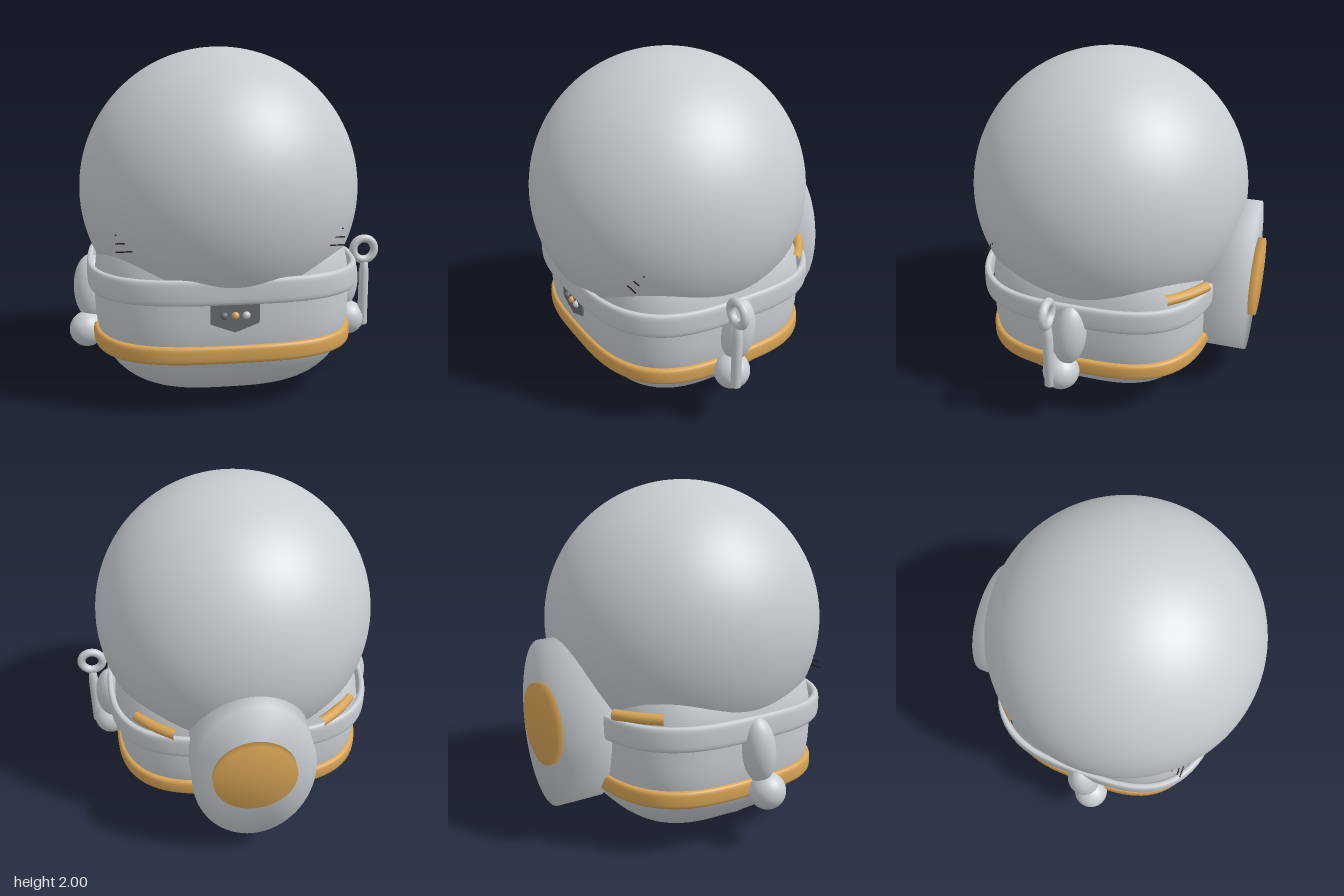
import * as THREE from 'three';
import { mergeVertices } from 'three/addons/utils/BufferGeometryUtils.js';

const CX = -0.04, CZ = 0.045; // body axis

const material = (name, color) => {
  const m = new THREE.MeshStandardMaterial({ color });
  m.name = name;
  return m;
};

// Lofts rounded-square loops; each row is [half width, half depth, height]
function loft(rows, closed, n = 3.1, segments = 112) {
  const pos = [], index = [];
  for (const [a, b, y] of rows) {
    for (let j = 0; j < segments; j++) {
      const t = (j / segments) * Math.PI * 2, c = Math.cos(t), s = Math.sin(t);
      const r = Math.pow(Math.abs(c) ** n + Math.abs(s) ** n, -1 / n);
      pos.push(a * r * c, y, b * r * s);
    }
  }
  const count = closed ? rows.length : rows.length - 1;
  for (let i = 0; i < count; i++) {
    const k = (i + 1) % rows.length;
    for (let j = 0; j < segments; j++) {
      const l = (j + 1) % segments;
      const p = i * segments + j, q = k * segments + j;
      const p2 = i * segments + l, q2 = k * segments + l;
      index.push(p, q, p2, q, q2, p2);
    }
  }
  const g = new THREE.BufferGeometry();
  g.setAttribute('position', new THREE.Float32BufferAttribute(pos, 3));
  g.setIndex(index);
  g.computeVertexNormals();
  return g;
}

// Band around the body with a soft rectangular cross-section
function band(a, b, y, thick, high, power) {
  const rows = [];
  for (let i = 0; i < 20; i++) {
    const t = (i / 20) * Math.PI * 2, c = Math.cos(t), s = Math.sin(t);
    const o = Math.sign(c) * Math.abs(c) ** power * thick;
    rows.push([a + o, b + o, y + Math.sign(s) * Math.abs(s) ** power * high]);
  }
  return loft(rows, true);
}

// Oval disc facing z with normals blended over its edge
function softDisc(w, h, depth) {
  let g = new THREE.CylinderGeometry(1, 1, depth, 64);
  g.rotateX(Math.PI / 2).scale(w, h, 1);
  g.deleteAttribute('normal');
  g.deleteAttribute('uv');
  g = mergeVertices(g, 1e-4);
  g.computeVertexNormals();
  return g;
}

export function createModel() {
  const group = new THREE.Group();
  const shell = material('shell grey', 0xc8cdd2);
  const gold = material('gold', 0xd8a455);
  const dark = material('dark grey', 0x686c73);
  const black = material('black', 0x1c1c1e);

  const add = (name, geometry, mat, x, y, z) => {
    const m = new THREE.Mesh(geometry, mat);
    m.name = name;
    m.position.set(x, y, z);
    group.add(m);
    return m;
  };
  const ball = new THREE.SphereGeometry(1, 40, 28);

  // Helmet dome
  add('dome', new THREE.SphereGeometry(0.823, 96, 64), shell, CX, 1.177, 0.06);

  // Rounded-box body
  const rows = [], e = 2.7;
  for (let i = 0; i <= 48; i++) {
    const t = -Math.PI / 2 + (i / 48) * Math.PI;
    const c = Math.max(0, Math.cos(t)), s = Math.sin(t);
    const r = Math.pow(c ** e + Math.abs(s) ** e, -1 / e);
    rows.push([0.75 * r * c, 0.67 * r * c, 0.595 * r * s]);
  }
  add('body', loft(rows, false), shell, CX, 0.6, CZ);

  // Collar and belt
  add('collar', band(0.772, 0.697, 0, 0.02, 0.07, 0.6), shell, CX, 0.72, CZ);
  add('belt', band(0.735, 0.655, 0, 0.028, 0.05, 0.6), gold, CX, 0.36, CZ);

  // Backpack
  add('backpack', softDisc(0.348, 0.488, 0.265), shell, CX, 0.67, -0.7125);
  add('backpackCap', softDisc(0.237, 0.236, 0.05), gold, CX, 0.675, -0.86);

  // Mirrored side parts
  for (const side of [-1, 1]) {
    const x = (d) => CX + side * d;

    const pod = add('sidePod', ball, shell, x(0.775), 0.59, 0.07);
    pod.scale.set(0.1, 0.195, 0.095);
    pod.rotation.x = -0.12;

    add('sideBall', ball, shell, x(0.8), 0.345, 0.12).scale.setScalar(0.105);

    // Gold edge showing at the rear corners
    const arc = new THREE.TorusGeometry(0.79, 0.03, 10, 16, 0.36);
    arc.rotateZ(side > 0 ? 0.66 : Math.PI - 1.02).rotateX(-Math.PI / 2);
    add('rearTrim', arc, gold, CX, 0.815, CZ);

    // Sole pads
    const pad = add('solePad', ball, dark, x(0.335), 0.036, 0.18);
    pad.scale.set(0.125, 0.018, 0.125);
    pad.rotation.set(-0.06, 0, side * 0.17);

    // Whiskers
    for (const [y, z, inner] of [[0.93, 0.63, 0.52], [0.97, 0.61, 0.56], [1.01, 0.575, 0.6]]) {
      const hair = new THREE.CylinderGeometry(0.004, 0.004, 0.625 - inner, 6);
      hair.rotateZ(Math.PI / 2);
      add('whisker', hair, black, x((inner + 0.625) / 2), y, z);
    }
  }

  // Ring and rod on the left side
  add('ring', new THREE.TorusGeometry(0.066, 0.025, 16, 40), shell, 0.845, 0.785, 0.155);
  const rod = [[0, 0], [0.03, 0], [0.03, 0.33], [0.022, 0.4], [0, 0.41]]
    .map(([r, y]) => new THREE.Vector2(r, y));
  add('rod', new THREE.LatheGeometry(rod, 24), shell, 0.85, 0.31, 0.155);

  // Front badge with three buttons
  const s = new THREE.Shape();
  s.moveTo(-0.132, 0.06);
  s.lineTo(-0.132, -0.045);
  s.lineTo(0, -0.095);
  s.lineTo(0.132, -0.045);
  s.lineTo(0.132, 0.06);
  s.lineTo(0.1, 0.07);
  s.lineTo(-0.1, 0.07);
  s.closePath();
  const plate = new THREE.ExtrudeGeometry(s, { depth: 0.04, bevelEnabled: false });
  add('badge', plate, dark, CX, 0.585, 0.685);
  [dark, gold, shell].forEach((mat, i) => {
    add('badgeButton', ball, mat, CX + (i - 1) * 0.06, 0.585, 0.727).scale.setScalar(0.021);
  });

  return group;
}
